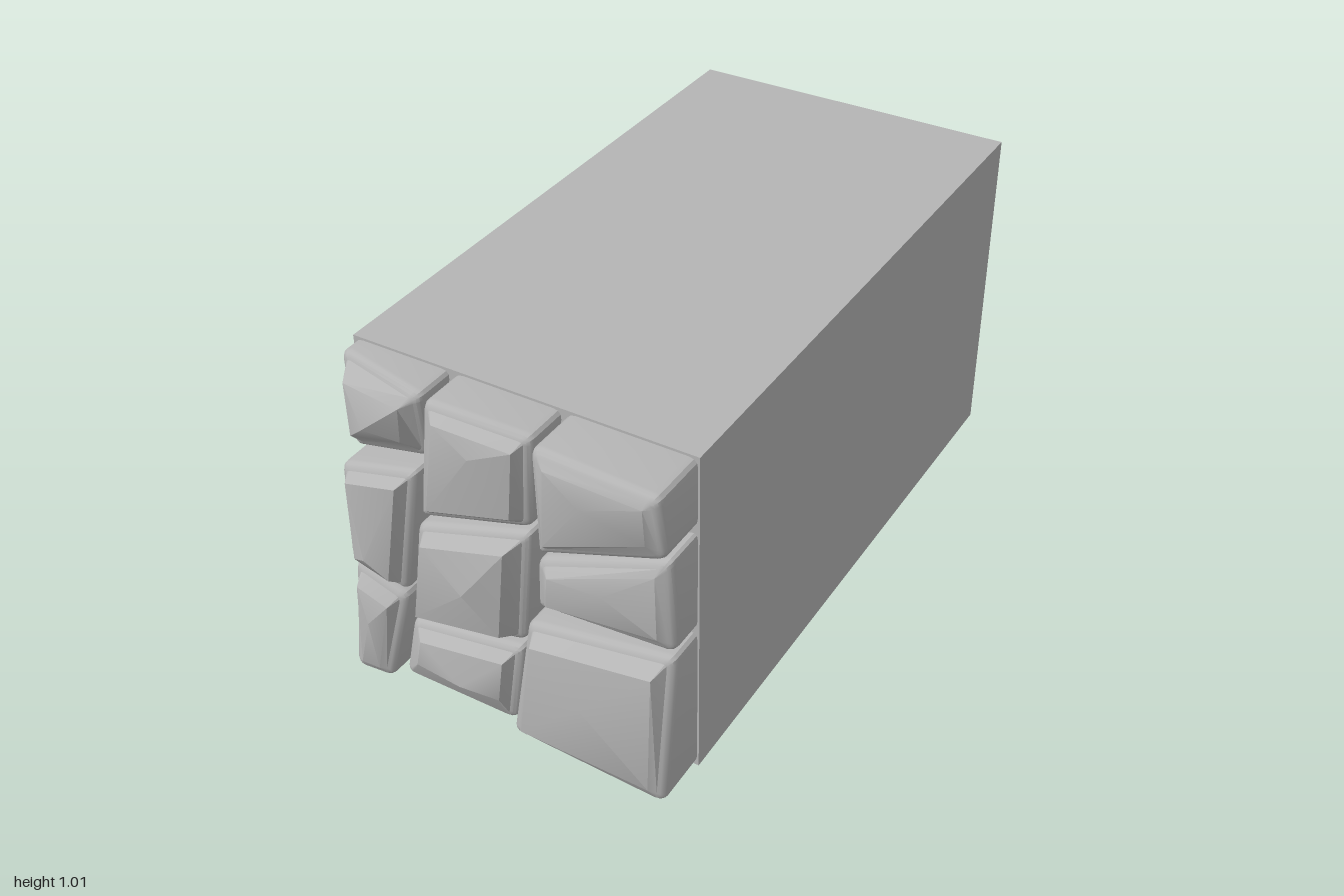
import * as THREE from 'three';
import { toCreasedNormals } from 'three/addons/utils/BufferGeometryUtils.js';

const BASE_Z = 0.8, GAP = 0.007, ROUND = 0.026, CORNER_STEPS = 3, EDGE_STEPS = 4;

// Upright joints: x at the ground and lean per unit of height
const UPRIGHTS = [[-0.507, 0], [-0.373, 0.176], [0.0125, 0.12], [0.507, 0]];

// Columns from left to right, stones from the bottom up.
// joints: y at the left and right end of each cross joint.
// corners: heights from bottom left anticlockwise; bevel: widths bottom, right, top, left.
const COLUMNS = [
  { joints: [[0.001, 0.001], [0.368, 0.306], [0.691, 0.761], [1.012, 1.012]],
    stones: [
      { name: 'bottomLeftStone', corners: [0.975, 0.97, 0.93, 0.93], bevel: [0.04, 0.035, 0.04, 0.035], peak: [-0.42, 0.21, 0.99] },
      { name: 'middleLeftStone', corners: [0.94, 0.93, 0.93, 0.93], bevel: [0.05, 0.035, 0.035, 0.045], peak: [-0.405, 0.44, 0.99] },
      { name: 'topLeftStone', corners: [0.87, 0.88, 0.93, 0.875], bevel: [0.075, 0.05, 0.05, 0.05], peak: [-0.375, 0.86, 0.965] },
    ] },
  { joints: [[0.001, 0.001], [0.219, 0.289], [0.586, 0.697], [1.012, 1.012]],
    stones: [
      { name: 'bottomMiddleStone', corners: [0.93, 0.93, 0.92, 0.92], bevel: [0.095, 0.035, 0.035, 0.06], peak: [-0.13, 0.115, 0.983] },
      { name: 'centreStone', corners: [0.92, 0.91, 0.92, 0.93], bevel: [0.05, 0.045, 0.04, 0.045], peak: [-0.08, 0.47, 1.0] },
      { name: 'topMiddleStone', corners: [0.92, 0.92, 0.94, 0.945], bevel: [0.055, 0.035, 0.04, 0.05], peak: [-0.03, 0.915, 0.99] },
    ] },
  { joints: [[0.001, 0.001], [0.404, 0.476], [0.601, 0.802], [1.012, 1.012]],
    stones: [
      { name: 'bottomRightStone', corners: [0.965, 0.98, 0.925, 0.935], bevel: [0.045, 0.04, 0.045, 0.04], peak: [0.26, 0.245, 1.0] },
      { name: 'middleRightStone', corners: [0.89, 0.92, 0.935, 0.905], bevel: [0.05, 0.04, 0.04, 0.05], peak: [0.31, 0.605, 0.95] },
      { name: 'topRightStone', corners: [0.91, 0.96, 0.985, 0.97], bevel: [0.06, 0.04, 0.04, 0.05], peak: [0.29, 0.9, 0.998] },
    ] },
];

// Moves the sides of a convex quad inwards (widths: bottom, right, top, left)
function insetQuad(quad, widths) {
  return quad.map((p, i) => {
    const u = p.clone().sub(quad[(i + 3) % 4]).normalize();
    const v = quad[(i + 1) % 4].clone().sub(p).normalize();
    const k = 1 / u.cross(v);
    return p.clone().addScaledVector(v, widths[(i + 3) % 4] * k).addScaledVector(u, -widths[i] * k);
  });
}

const insetEvenly = (quad, d) => insetQuad(quad, [d, d, d, d]);

// Ring of points round a quad with softened corners
function roundedRing(quad, radius, heights) {
  return quad.flatMap((c, i) => {
    const toward = (q) => q.clone().sub(c).setLength(radius).add(c);
    const curve = new THREE.QuadraticBezierCurve(toward(quad[(i + 3) % 4]), c, toward(quad[(i + 1) % 4]));
    return curve.getPoints(CORNER_STEPS).map((q) => new THREE.Vector3(q.x, q.y, heights[i]));
  });
}

// Straight sides, rounded shoulder, sloping facets and a shallow peak
function stoneGeometry(outline, { corners, bevel, peak }) {
  const rings = [roundedRing(outline, ROUND, corners.map(() => BASE_Z))];
  for (let s = 0; s <= EDGE_STEPS; s++) {
    const a = (s / EDGE_STEPS) * 1.35;
    const d = ROUND * (1 - Math.cos(a));
    const drop = ROUND * (1 - Math.sin(a));
    rings.push(roundedRing(insetEvenly(outline, d), ROUND - d * 0.6, corners.map((z) => z - drop)));
  }
  const top = new THREE.Vector3(...peak);
  const facet = insetQuad(outline, bevel).map((p, i) =>
    new THREE.Vector3(p.x, p.y, THREE.MathUtils.lerp(corners[i], top.z, 0.6)));
  rings.push(rings[0].map((_, i) => facet[Math.floor(i / (CORNER_STEPS + 1))]));

  const points = [];
  for (let r = 0; r < rings.length - 1; r++) {
    const low = rings[r], high = rings[r + 1];
    low.forEach((p, i) => {
      const j = (i + 1) % low.length;
      points.push(p, low[j], high[j]);
      if (high[i] !== high[j]) points.push(p, high[j], high[i]);
    });
  }
  facet.forEach((p, i) => points.push(p, facet[(i + 1) % 4], top));
  return toCreasedNormals(new THREE.BufferGeometry().setFromPoints(points), 0.45);
}

export function createModel() {
  const group = new THREE.Group();
  group.name = 'stoneFacedBlock';
  const grey = new THREE.MeshStandardMaterial({ color: 0xb4b4b4 });
  grey.name = 'grey stone';

  // Plain block behind the stones
  const block = new THREE.Mesh(new THREE.BoxGeometry(1.01, 1.012, 1.81), grey);
  block.name = 'block';
  block.position.set(0, 0.506, -0.095);
  group.add(block);

  // Nine fitted stones between the joints on the front
  COLUMNS.forEach(({ joints, stones }, column) => {
    const onUpright = ([x, lean], y) => new THREE.Vector2(x + lean * y, y);
    const left = UPRIGHTS[column], right = UPRIGHTS[column + 1];
    stones.forEach((stone, row) => {
      const below = joints[row], above = joints[row + 1];
      const cell = [onUpright(left, below[0]), onUpright(right, below[1]),
        onUpright(right, above[1]), onUpright(left, above[0])];
      const mesh = new THREE.Mesh(stoneGeometry(insetEvenly(cell, GAP), stone), grey);
      mesh.name = stone.name;
      group.add(mesh);
    });
  });
  return group;
}
